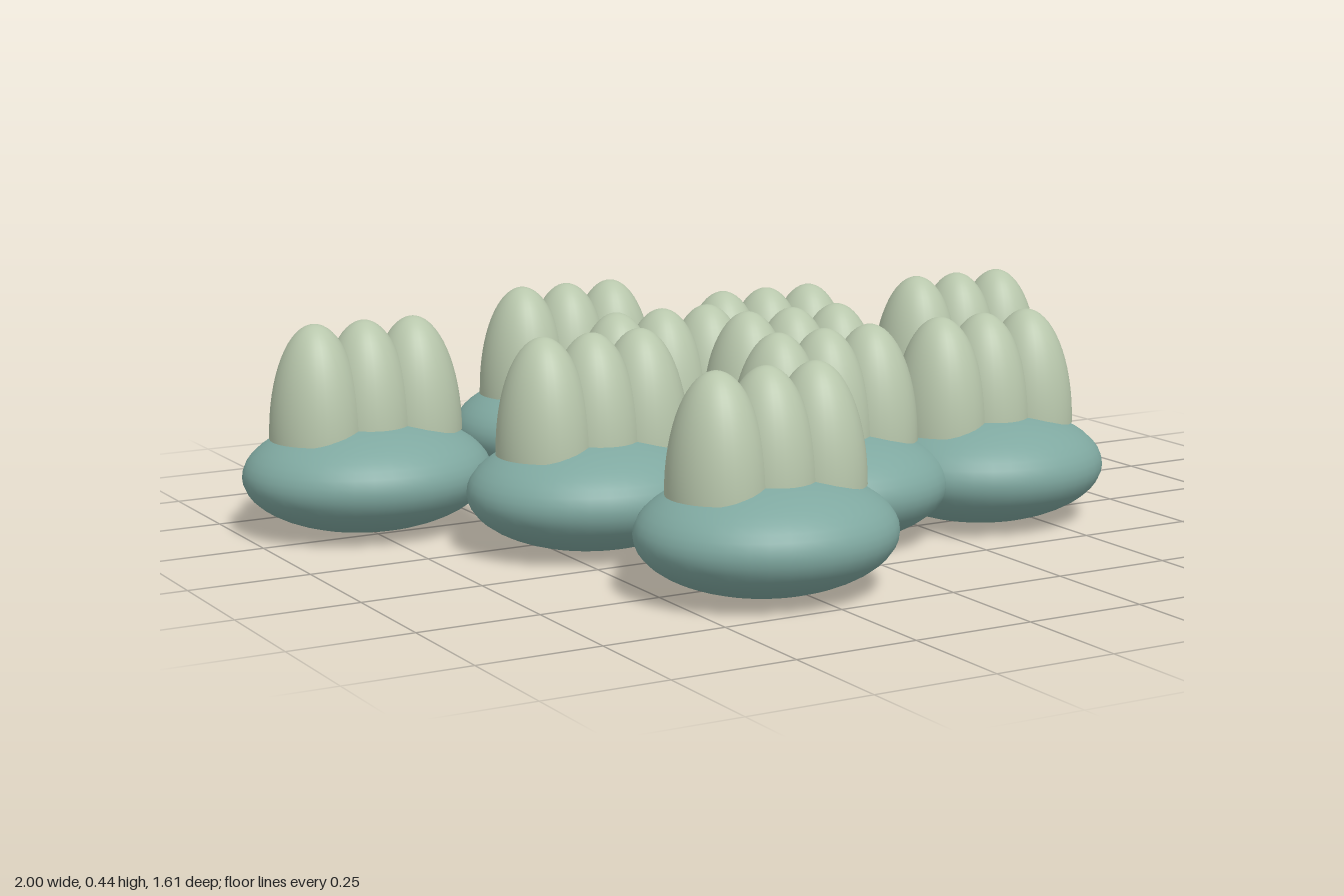
import * as THREE from 'three';

export function createModel() {
  const model = new THREE.Group();
  model.name = 'podCluster';

  const bodyMat = new THREE.MeshStandardMaterial({ color: 0x7fa8a0 });
  bodyMat.name = 'dusty teal';
  const domeMat = new THREE.MeshStandardMaterial({ color: 0xb8c7ac });
  domeMat.name = 'pale sage';
  const stemMat = new THREE.MeshStandardMaterial({ color: 0xd2c8a4 });
  stemMat.name = 'straw';

  // Flattened body
  const bodyGeo = new THREE.SphereGeometry(1, 40, 24).scale(0.26, 0.117, 0.237);

  // Tall half-ellipsoid lobe with an open base sunk into the body
  const domeGeo = new THREE.SphereGeometry(1, 32, 16, 0, Math.PI * 2, 0, Math.PI / 2)
    .scale(0.096, 0.237, 0.107);

  // Stem leaving the back of the body and bending towards +x
  const stemPath = new THREE.CatmullRomCurve3([
    new THREE.Vector3(0.08, 0.11, -0.16),
    new THREE.Vector3(0.135, 0.098, -0.205),
    new THREE.Vector3(0.2, 0.086, -0.218),
    new THREE.Vector3(0.307, 0.071, -0.219),
  ]);
  const stemGeo = new THREE.TubeGeometry(stemPath, 16, 0.025, 10);
  const stemEndGeo = new THREE.CircleGeometry(0.025, 10);
  const tipDirection = stemPath.getTangent(1);

  // Ground positions of the pods: x, z
  const spots = [
    [-0.74, -0.32], [-0.15, -0.565], [0.2, -0.285], [0.69, -0.26], [-0.14, -0.14],
    [0.105, -0.015], [-0.41, 0.06], [0.02, 0.25], [0.41, 0.25], [-0.3, 0.56],
  ];

  const add = (parent, geometry, material, name, x = 0, y = 0, z = 0) => {
    const mesh = new THREE.Mesh(geometry, material);
    mesh.name = name;
    mesh.position.set(x, y, z);
    parent.add(mesh);
    return mesh;
  };

  for (const [x, z] of spots) {
    const pod = new THREE.Group();
    pod.name = 'pod';
    pod.position.set(x, 0, z);

    add(pod, bodyGeo, bodyMat, 'body', 0, 0.118, 0);
    for (const dx of [-0.109, 0, 0.109]) add(pod, domeGeo, domeMat, 'lobe', dx, 0.2, 0);

    add(pod, stemGeo, stemMat, 'stem');
    const tip = add(pod, stemEndGeo, stemMat, 'stemEnd', ...stemPath.getPoint(1).toArray());
    tip.quaternion.setFromUnitVectors(new THREE.Vector3(0, 0, 1), tipDirection);

    model.add(pod);
  }
  return model;
}
